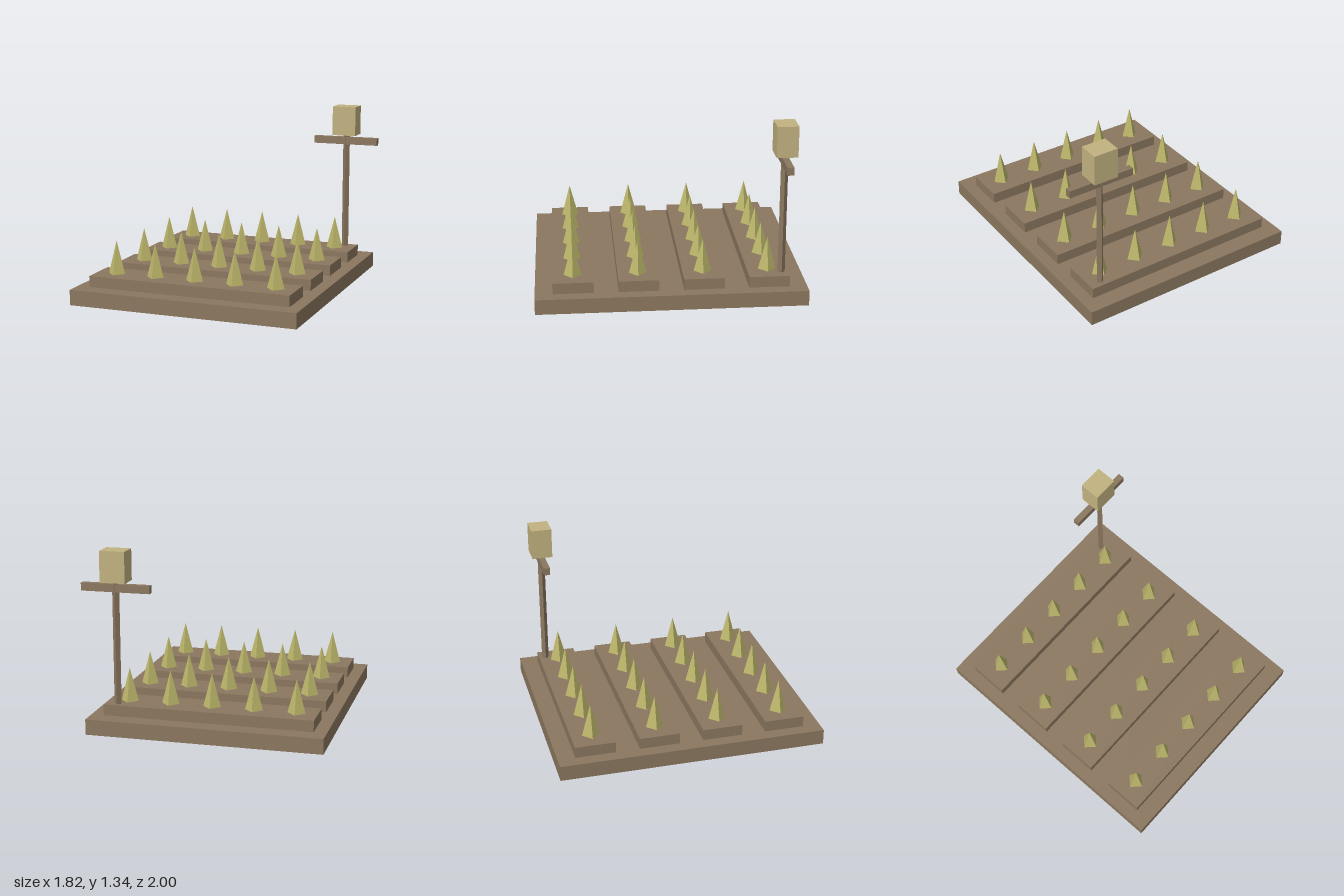
import * as THREE from 'three';

export function createModel() {
  const model = new THREE.Group();
  model.name = 'cropField';

  const material = (name, color, flatShading = false) => {
    const m = new THREE.MeshStandardMaterial({ color, flatShading });
    m.name = name;
    return m;
  };
  const soil = material('soilBrown', 0x8b775f);
  const crop = material('cropYellowGreen', 0xbdb76b, true);
  const straw = material('strawTan', 0xc2b280);

  const add = (name, geometry, mat, x, y, z, parent = model) => {
    const mesh = new THREE.Mesh(geometry, mat);
    mesh.name = name;
    mesh.position.set(x, y, z);
    parent.add(mesh);
    return mesh;
  };

  // Ground slab
  const slabTop = 0.115, bedTop = 0.198;
  add('groundSlab', new THREE.BoxGeometry(1.75, slabTop, 2), soil, -0.035, slabTop / 2, 0);

  // Raised beds, each with a row of four-sided plants
  const bedHeight = bedTop - slabTop;
  const bedGeometry = new THREE.BoxGeometry(1.56, bedHeight, 0.3);
  const plantHeight = 0.25;
  const plantGeometry = new THREE.ConeGeometry(0.066, plantHeight, 4);
  for (let row = 0; row < 4; row++) {
    const z = -0.72 + row * 0.48;
    add('raisedBed', bedGeometry, soil, -0.035, slabTop + bedHeight / 2, z);
    for (let i = 0; i < 5; i++) {
      add('plant', plantGeometry, crop, -0.66 + i * 0.3125, bedTop + plantHeight / 2, z);
    }
  }

  // Scarecrow: square post set cornerwise, crossbar and block head
  const scarecrow = new THREE.Group();
  scarecrow.name = 'scarecrow';
  scarecrow.position.set(0.647, 0, -0.819);
  model.add(scarecrow);
  const headBottom = 1.11;
  const post = new THREE.CylinderGeometry(0.027, 0.027, headBottom - bedTop, 4).toNonIndexed();
  post.computeVertexNormals();
  add('post', post, soil, 0.003, (headBottom + bedTop) / 2, 0, scarecrow);
  add('crossbar', new THREE.BoxGeometry(0.518, 0.057, 0.049), soil, 0, 1.062, 0, scarecrow);
  add('head', new THREE.BoxGeometry(0.188, 0.23, 0.156), straw, 0, headBottom + 0.115, -0.003, scarecrow);

  return model;
}
